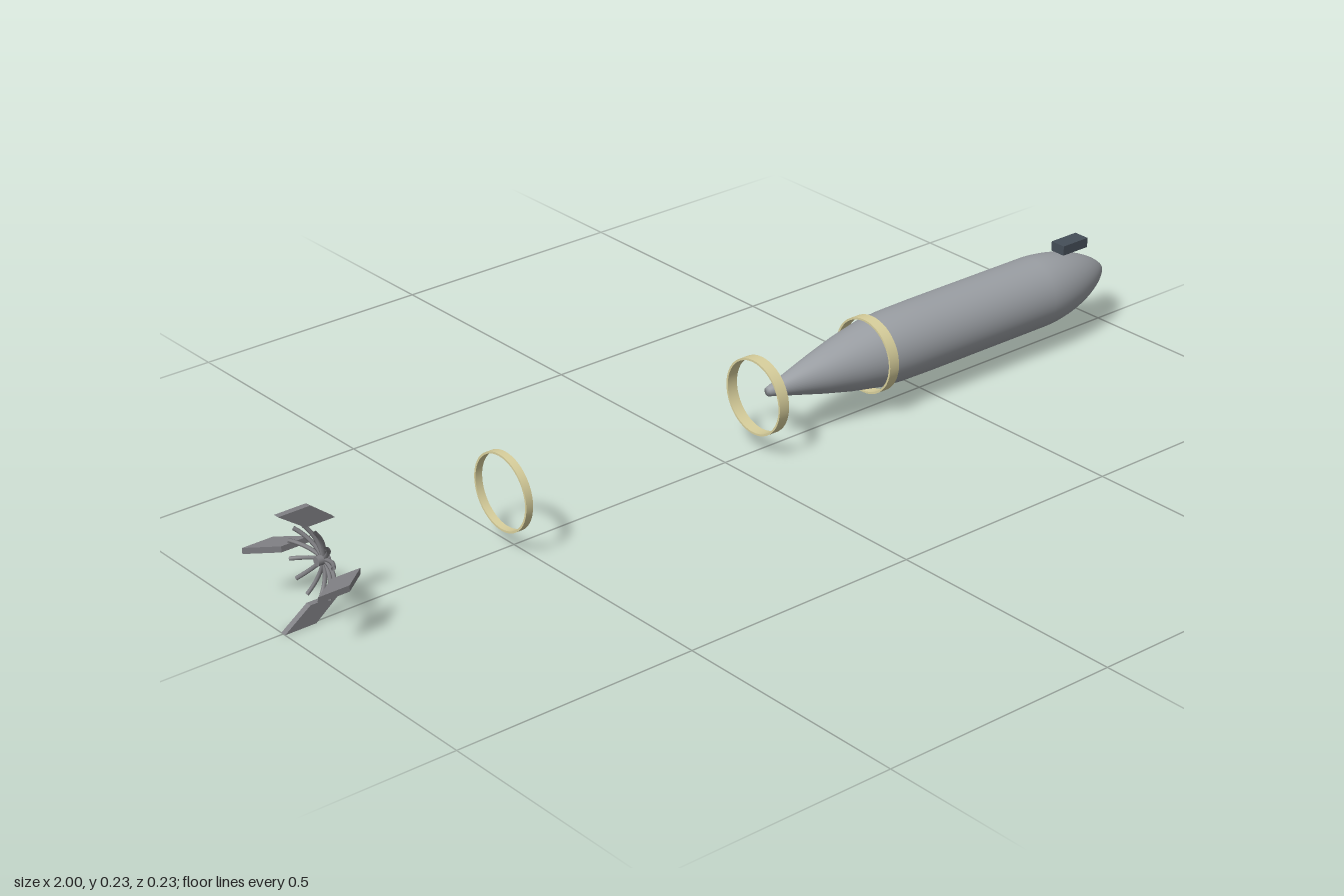
import * as THREE from 'three';

const AXIS_Y = 0.116;
const R = 0.073;

const paint = (color) => new THREE.MeshStandardMaterial({ color, side: THREE.DoubleSide });
const hullMat = paint(0x9a9ea3);
const finMat = paint(0x808084);
const ringMat = paint(0xd8cf9c);
const boxMat = paint(0x454e58);

export function createModel() {
  const model = new THREE.Group();
  const add = (name, geometry, material, parent = model) => {
    const mesh = new THREE.Mesh(geometry, material);
    mesh.name = name;
    parent.add(mesh);
    return mesh;
  };

  // Revolve a list of [x, radius] around the long axis
  const revolve = (name, points, material) => {
    const profile = points.map(([x, r]) => new THREE.Vector2(r, x));
    const geometry = new THREE.LatheGeometry(profile, 48).rotateZ(-Math.PI / 2);
    return add(name, geometry.translate(0, AXIS_Y, 0), material);
  };

  // Hull: tail cone, straight middle, rounded nose
  revolve('tailCone', [[0.105, 0], [0.105, 0.009], [0.23, 0.041], [0.3, 0.057], [0.37, 0.069]], hullMat);
  const nose = [[0.37, 0.069], [0.42, 0.072], [0.5, R]];
  for (let i = 0; i <= 20; i++) {
    const t = Math.sin((i / 20) * Math.PI / 2);
    nose.push([0.8 + 0.2 * t, R * Math.pow(Math.max(0, 1 - Math.pow(t, 1.9)), 0.7)]);
  }
  revolve('hull', nose, hullMat);

  // Hollow bands spaced along the axis
  const band = (name, x, width) => {
    const a = x - width / 2, b = x + width / 2, outer = 0.077, inner = 0.073;
    const corners = [[a, outer], [b, outer], [b, inner], [a, inner]];
    corners.forEach((corner, i) => {
      revolve(name, [corner, corners[(i + 1) % 4]], ringMat);
    });
  };
  band('hullBand', 0.36, 0.023);
  band('middleBand', 0.08, 0.023);
  band('rearBand', -0.52, 0.015);

  // Small housing on top of the nose
  add('topHousing', new THREE.BoxGeometry(0.067, 0.02, 0.034), boxMat).position.set(0.906, 0.192, 0);

  // Tail: four swept fins around a propeller
  const tail = new THREE.Group();
  tail.name = 'tail';
  tail.position.y = AXIS_Y;
  model.add(tail);

  const finShape = new THREE.Shape([[-1, 0.115], [-0.945, 0.076], [-0.885, 0.076], [-0.935, 0.115]]
    .map(([x, y]) => new THREE.Vector2(x, y)));
  const finGeometry = new THREE.ExtrudeGeometry(finShape, { depth: 0.012, bevelEnabled: false })
    .translate(0, 0, -0.006);
  for (let i = 0; i < 4; i++) {
    add('fin', finGeometry, finMat, tail).rotation.x = i * Math.PI / 2;
  }

  // Propeller blades bend backwards toward their tips
  const bladePath = new THREE.QuadraticBezierCurve3(
    new THREE.Vector3(-0.909, 0, 0),
    new THREE.Vector3(-0.909, 0.04, 0),
    new THREE.Vector3(-0.935, 0.07, 0));
  const bladeGeometry = new THREE.TubeGeometry(bladePath, 8, 0.004, 6);
  for (let i = 0; i < 12; i++) {
    add('propellerBlade', bladeGeometry, finMat, tail).rotation.x = (i + 0.5) * Math.PI / 6;
  }
  const hub = add('propellerHub', new THREE.CylinderGeometry(0.009, 0.009, 0.025, 16), finMat, tail);
  hub.rotation.z = Math.PI / 2;
  hub.position.x = -0.912;

  return model;
}
